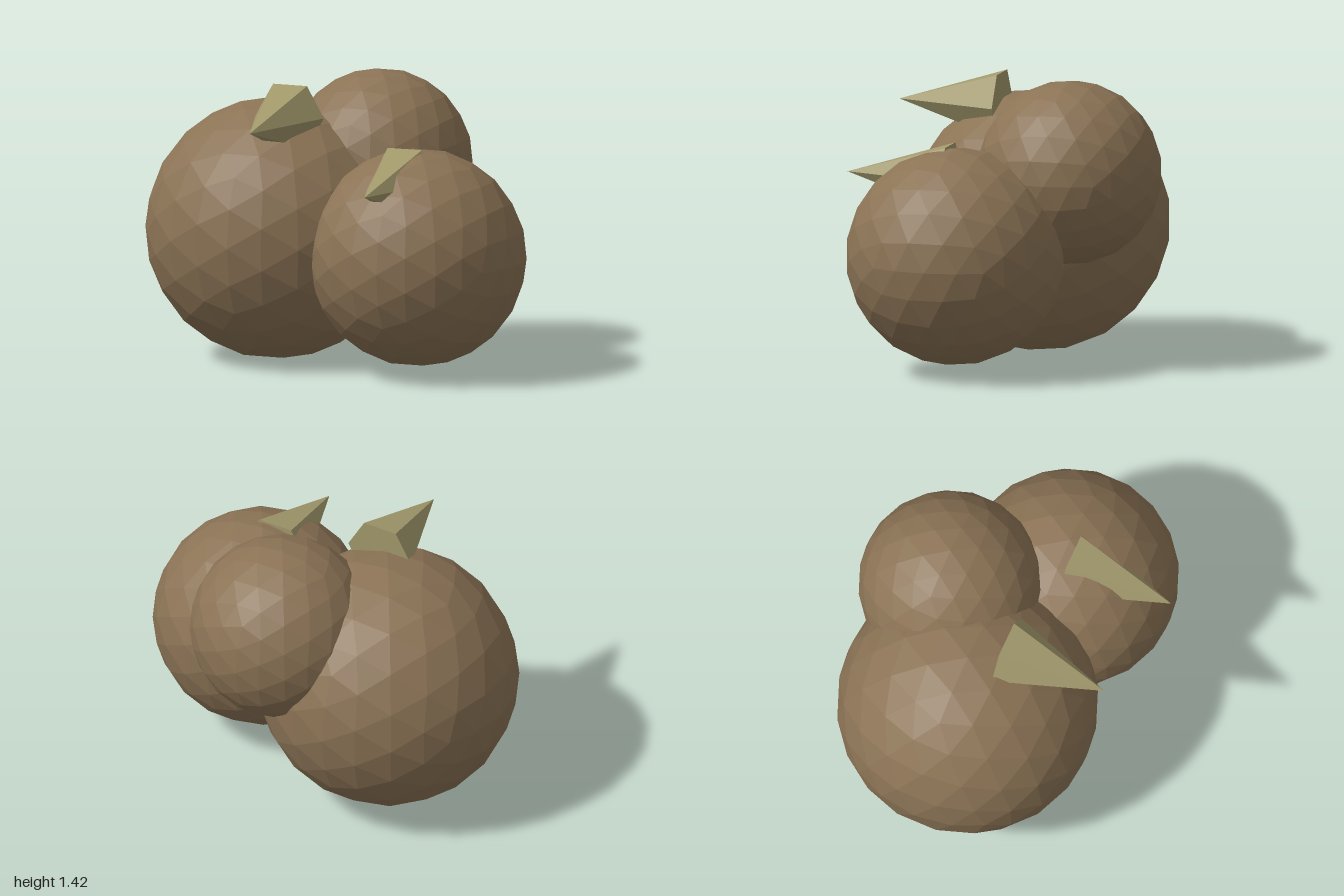
import * as THREE from 'three';

export function createModel() {
  const group = new THREE.Group();
  const stone = new THREE.MeshStandardMaterial({ color: 0x8b7355, flatShading: true });
  const horn = new THREE.MeshStandardMaterial({ color: 0xa39a6c, flatShading: true });

  const add = (name, geometry, material, position) => {
    const mesh = new THREE.Mesh(geometry, material);
    mesh.name = name;
    mesh.position.set(...position);
    group.add(mesh);
  };

  // Three overlapping faceted boulders
  const boulders = [
    ['largeBoulder', 0.645, [-0.358, 0.645, -0.005]],
    ['frontBoulder', 0.537, [0.463, 0.585, 0.178]],
    ['backBoulder', 0.454, [0.075, 0.962, -0.291]],
  ];
  for (const [name, radius, position] of boulders) {
    add(name, new THREE.IcosahedronGeometry(radius, 3), stone, position);
  }

  // Two six-sided spikes pointing forward, half sunk into the boulders
  const spike = new THREE.ConeGeometry(0.179, 0.525, 6);
  spike.rotateY(Math.PI / 6).rotateX(Math.PI / 2);
  add('rightSpike', spike, horn, [-0.225, 1.235, 0.407]);
  add('leftSpike', spike, horn, [0.412, 0.972, 0.481]);

  return group;
}
